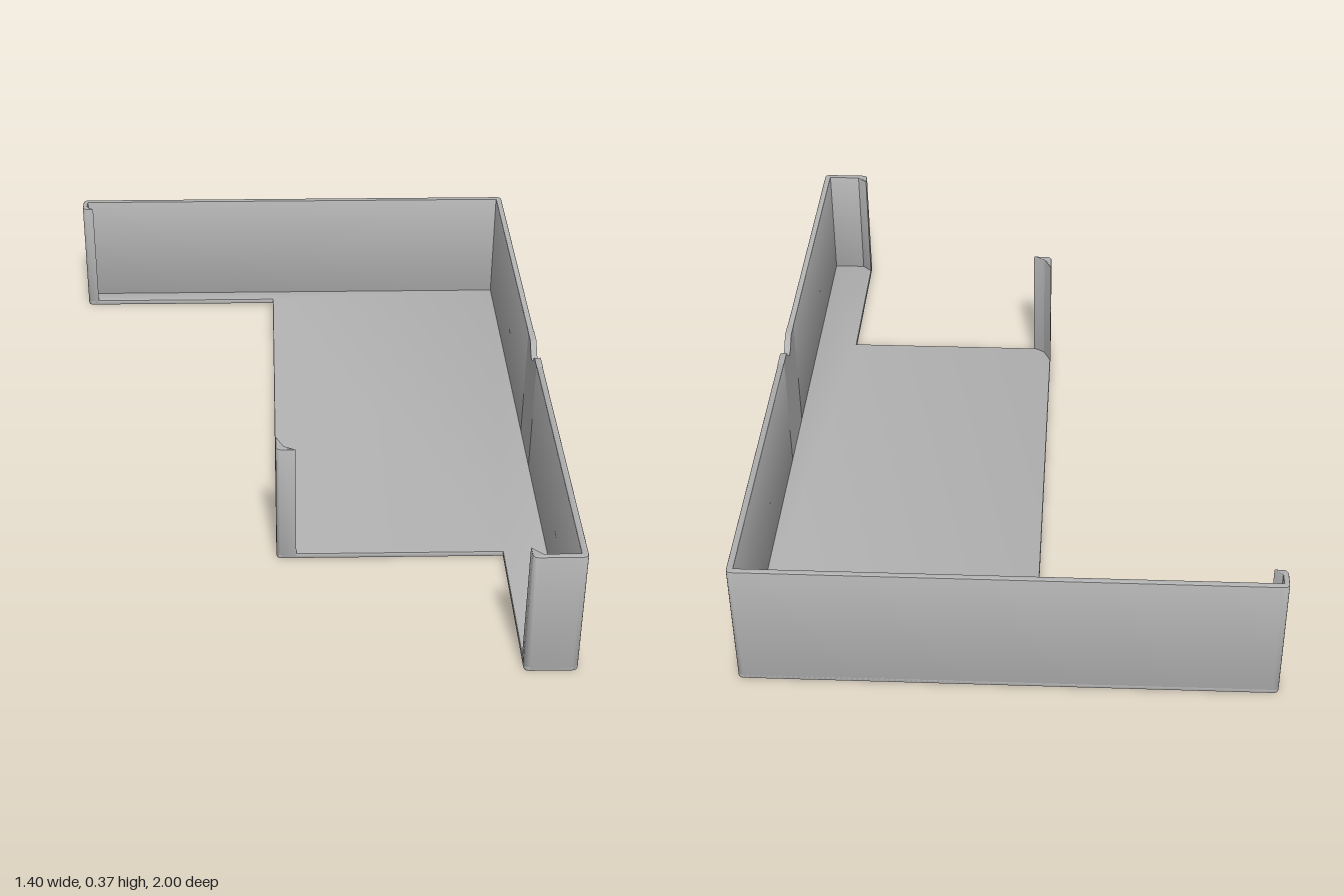
import * as THREE from 'three';
import { toCreasedNormals } from 'three/addons/utils/BufferGeometryUtils.js';

const HEIGHT = 0.365, FLOOR = 0.017, WALL = 0.018, BEVEL = 0.004;

// Plan outline from [x, z, cornerRadius] points
function planShape(points) {
  const shape = new THREE.Shape();
  const pts = points.map(([x, z, r = 0]) => ({ p: new THREE.Vector2(x, -z), r }));
  const toward = (a, b, d) => b.clone().sub(a).setLength(d).add(a);
  pts.forEach(({ p, r }, i) => {
    const prev = pts[(i + pts.length - 1) % pts.length].p;
    const next = pts[(i + 1) % pts.length].p;
    const a = r ? toward(p, prev, r) : p;
    if (i === 0) shape.moveTo(a.x, a.y); else shape.lineTo(a.x, a.y);
    if (r) {
      const b = toward(p, next, r);
      shape.quadraticCurveTo(p.x, p.y, b.x, b.y);
    }
  });
  shape.closePath();
  return shape;
}

// Upright extrusion of a plan outline with softened top and bottom edges
function upright(name, points, height, material) {
  const geo = new THREE.ExtrudeGeometry(planShape(points), {
    depth: height - 2 * BEVEL, bevelEnabled: true, bevelThickness: BEVEL,
    bevelSize: BEVEL, bevelOffset: -BEVEL, bevelSegments: 2, curveSegments: 5,
  });
  geo.rotateX(-Math.PI / 2).translate(0, BEVEL, 0);
  const mesh = new THREE.Mesh(toCreasedNormals(geo, 0.6), material);
  mesh.name = name;
  return mesh;
}

export function createModel() {
  const group = new THREE.Group();
  group.name = 'cornerTray';
  const grey = new THREE.MeshStandardMaterial({ color: 0xb2b2b2 });
  grey.name = 'light grey';
  const R = 0.016, inner = 0.7 - WALL, back = -1 + WALL;

  // Floor with a narrow tab at the left and at the front
  group.add(upright('floor', [
    [-0.7, -0.932, R], [-0.07, -0.932], [-0.07, 0.512, R], [0.56, 0.512],
    [0.56, 1, R], [0.7, 1, R], [0.7, -1, R], [-0.7, -1, R],
  ], FLOOR, grey));

  // Back wall, flared at its left end, turning into the rear of the side wall
  group.add(upright('backWall', [
    [-0.7, -1, R], [-0.7, -0.932, R], [-0.665, -0.932], [-0.685, -0.953],
    [-0.685, back], [inner, back], [inner, -0.095], [0.7, -0.095], [0.7, -1, R],
  ], HEIGHT, grey));

  // Front of the side wall with its flared end return
  group.add(upright('sideWallFront', [
    [0.7, 0.095], [inner, 0.095], [inner, 1 - WALL], [0.588, 1 - WALL],
    [0.56, 0.955], [0.56, 1, R], [0.7, 1, R],
  ], HEIGHT, grey));

  // Middle of the side wall with the notch in its top edge
  const profile = new THREE.Shape();
  profile.moveTo(-0.1, BEVEL);
  profile.lineTo(0.1, BEVEL);
  profile.lineTo(0.1, HEIGHT);
  profile.lineTo(0.055, HEIGHT);
  profile.quadraticCurveTo(0.045, HEIGHT, 0.038, HEIGHT - 0.009);
  profile.lineTo(0.022, 0.339);
  profile.quadraticCurveTo(0, 0.321, -0.022, 0.339);
  profile.lineTo(-0.038, HEIGHT - 0.009);
  profile.quadraticCurveTo(-0.045, HEIGHT, -0.055, HEIGHT);
  profile.lineTo(-0.1, HEIGHT);
  profile.closePath();
  const notchGeo = new THREE.ExtrudeGeometry(profile, { depth: WALL, bevelEnabled: false, curveSegments: 8 });
  notchGeo.rotateY(-Math.PI / 2).translate(0.7, 0, 0);
  const notch = new THREE.Mesh(toCreasedNormals(notchGeo, 0.6), grey);
  notch.name = 'notchedSideWall';
  group.add(notch);

  // Slim post at the free corner of the floor
  group.add(upright('cornerPost', [
    [-0.07, 0.445], [-0.07, 0.512, R], [-0.015, 0.512], [-0.048, 0.492],
  ], HEIGHT, grey));

  return group;
}
